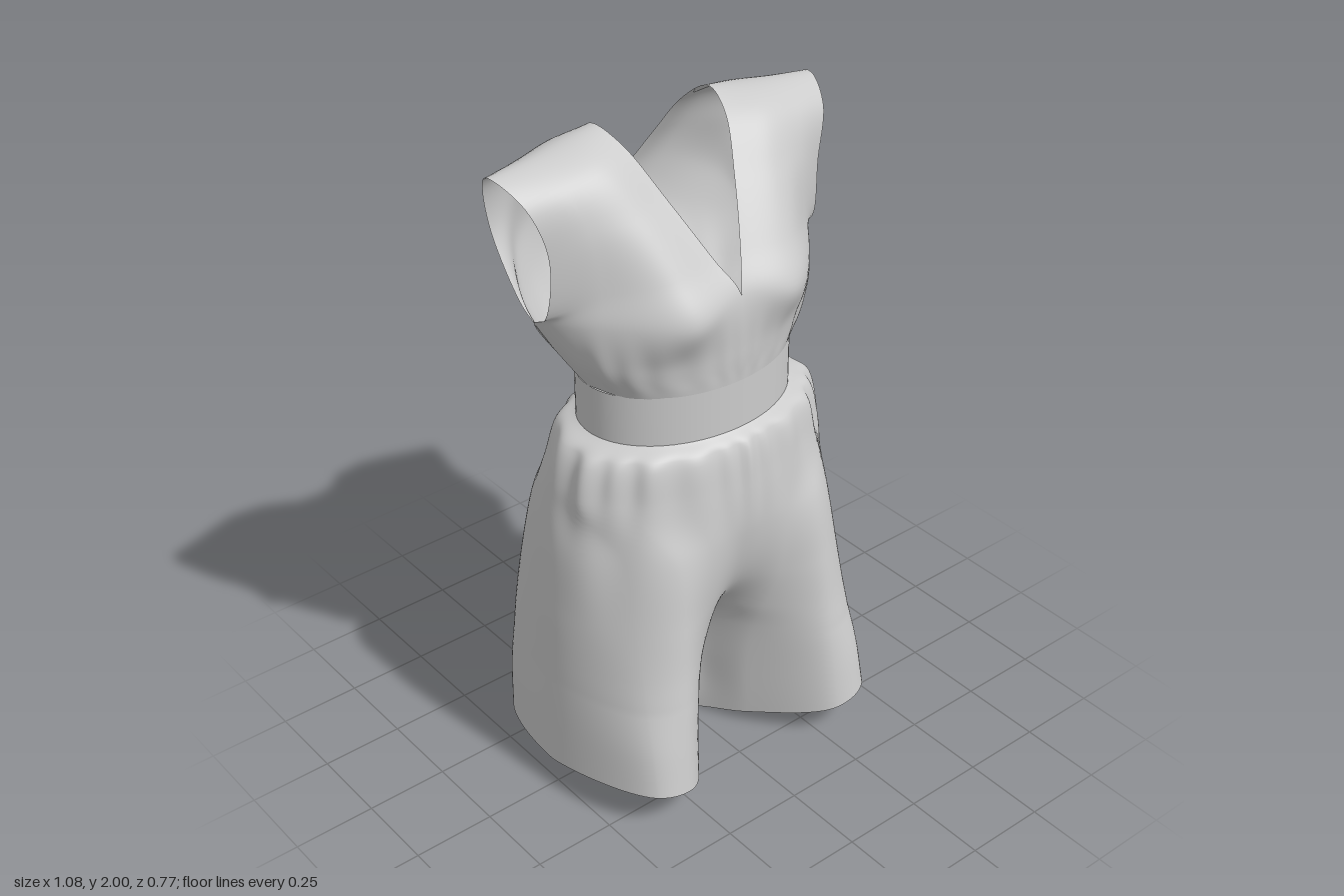
import * as THREE from 'three';
import { mergeGeometries, mergeVertices } from 'three/addons/utils/BufferGeometryUtils.js';

const V = (x, y, z) => new THREE.Vector3(x, y, z);
const step = THREE.MathUtils.smoothstep;
const material = new THREE.MeshStandardMaterial({ color: 0xcccccc, side: THREE.DoubleSide });

// Points on a level ellipse, angle measured in degrees from the front centre
function arc(y, rx, rz, cz, from, to, count) {
  return Array.from({ length: count }, (_, i) => {
    const a = THREE.MathUtils.degToRad(from + (to - from) * i / (count - 1));
    return V(rx * Math.sin(a), y, cz + rz * Math.cos(a));
  });
}

// Extra point past a row's end: mirrored on the centre line, straight on elsewhere
function beyond(end, next) {
  const mirrored = V(-next.x, next.y, next.z);
  const straight = end.clone().multiplyScalar(2).sub(next);
  return mirrored.lerp(straight, step(end.x, 0, 0.04));
}

// Smooth cloth through rows of control points, mirrored to both sides
function cloth(name, rows, nu, perRow, warp) {
  const nv = (rows.length - 1) * perRow;
  const columns = rows[0].map((_, i) => new THREE.CatmullRomCurve3(rows.map(r => r[i])));
  const grid = [];
  for (let j = 0; j <= nv; j++) {
    const c = columns.map(column => column.getPoint(j / nv));
    c.forEach(p => { p.x = Math.max(0, p.x); });
    const n = c.length;
    const row = new THREE.CatmullRomCurve3([beyond(c[0], c[1]), ...c, beyond(c[n - 1], c[n - 2])]);
    for (let i = 0; i <= nu; i++) {
      const p = row.getPoint((1 + (i / nu) * (n - 1)) / (n + 1));
      p.x = Math.max(0, p.x);
      warp(p);
      grid.push(p);
    }
  }
  const half = side => {
    const g = new THREE.BufferGeometry().setFromPoints(grid.map(p => V(p.x * side, p.y, p.z)));
    const index = [];
    for (let j = 0; j < nv; j++) {
      for (let i = 0; i < nu; i++) {
        const a = j * (nu + 1) + i, b = a + 1, c = a + nu + 1, d = c + 1;
        if (side > 0) index.push(a, b, d, a, d, c);
        else index.push(a, d, b, a, c, d);
      }
    }
    return g.setIndex(index);
  };
  const geometry = mergeVertices(mergeGeometries([half(1), half(-1)]), 1e-4);
  geometry.computeVertexNormals();
  const mesh = new THREE.Mesh(geometry, material);
  mesh.name = name;
  return mesh;
}

// Push a point in or out around the body axis to make gathers
function gather(p, amount, count) {
  const a = Math.atan2(p.x, p.z + 0.02);
  const k = 1 + amount * Math.cos(count * a + 1.5 * Math.sin(5 * a));
  p.x *= k;
  p.z = (p.z + 0.02) * k - 0.02;
}

// Bodice: rows run from the front waist over the shoulder to the back waist,
// each from the centre or neckline out to the side seam or armhole
function bodice() {
  const over = [
    [[0, 1.585, 0.225], [0.18, 1.55, 0.246], [0.365, 1.55, 0.09], [0.47, 1.545, -0.06]],
    [[0.045, 1.68, 0.165], [0.2, 1.67, 0.18], [0.35, 1.64, 0.082], [0.467, 1.575, -0.012]],
    [[0.112, 1.83, 0.06], [0.23, 1.82, 0.088], [0.36, 1.81, 0.05], [0.462, 1.76, 0.008]],
    [[0.17, 1.963, -0.05], [0.28, 1.953, -0.015], [0.4, 1.928, -0.015], [0.505, 1.9, -0.025]],
    [[0.192, 2, -0.15], [0.3, 1.988, -0.14], [0.42, 1.972, -0.13], [0.54, 1.957, -0.13]],
    [[0.17, 1.94, -0.235], [0.28, 1.935, -0.245], [0.4, 1.91, -0.23], [0.51, 1.89, -0.205]],
    [[0.12, 1.83, -0.3], [0.23, 1.82, -0.312], [0.37, 1.8, -0.268], [0.472, 1.73, -0.228]],
    [[0.055, 1.745, -0.333], [0.19, 1.71, -0.344], [0.36, 1.66, -0.285], [0.467, 1.58, -0.125]],
    [[0, 1.725, -0.338], [0.18, 1.58, -0.342], [0.385, 1.55, -0.23], [0.47, 1.545, -0.06]],
  ].map(row => row.map(p => V(...p)));
  const rows = [
    arc(1.32, 0.333, 0.243, -0.02, 0, 90, 4),
    arc(1.42, 0.4, 0.272, -0.042, 0, 90, 4),
    ...over,
    arc(1.42, 0.4, 0.272, -0.042, 180, 90, 4),
    arc(1.32, 0.333, 0.243, -0.02, 180, 90, 4),
  ];
  return cloth('bodice', rows, 48, 8, p =>
    gather(p, 0.008 * step(p.y, 1.32, 1.37) * (1 - step(p.y, 1.38, 1.56)), 24));
}

// Shorts: rows run from hem to waist, each from the front centre round the
// outside to the back centre; below the crotch the two ends meet at the inseam
function shorts() {
  const lower = [
    [0, [[0.03, 0], [0.11, 0.16], [0.28, 0.372], [0.405, 0.355], [0.517, -0.02], [0.43, -0.31], [0.115, -0.2], [0.03, 0]]],
    [0.22, [[0.012, 0], [0.1, 0.16], [0.275, 0.352], [0.4, 0.325], [0.508, -0.03], [0.42, -0.32], [0.115, -0.235], [0.012, 0]]],
    [0.39, [[0, 0], [0.1, 0.18], [0.27, 0.335], [0.392, 0.29], [0.5, -0.03], [0.4, -0.327], [0.12, -0.3], [0, 0]]],
    [0.49, [[0, 0.11], [0.11, 0.22], [0.27, 0.322], [0.387, 0.265], [0.495, -0.03], [0.385, -0.332], [0.14, -0.348], [0, -0.22]]],
    [0.64, [[0, 0.22], [0.13, 0.265], [0.27, 0.305], [0.382, 0.23], [0.487, -0.03], [0.36, -0.33], [0.15, -0.383], [0, -0.35]]],
    [0.85, [[0, 0.276], [0.14, 0.28], [0.27, 0.268], [0.375, 0.18], [0.47, -0.03], [0.335, -0.295], [0.15, -0.363], [0, -0.36]]],
  ].map(([y, row]) => row.map(([x, z]) => V(x, y, z)));
  const rows = [
    ...lower,
    arc(1.02, 0.443, 0.297, -0.02, 0, 180, 8),
    arc(1.14, 0.4, 0.27, -0.015, 0, 180, 8),
    arc(1.17, 0.333, 0.243, -0.02, 0, 180, 8),
  ];
  return cloth('shorts', rows, 112, 9, p => {
    // hem dips towards the inseam and rises to the front
    const hem = 0.005 + 0.19 * (p.x - 0.03) + (p.z > 0 ? 0.15 : -0.03) * p.z;
    const y = p.y;
    p.y += hem * Math.max(0, 1 - y / 0.39);
    const top = 1 - step(y, 1.13, 1.17);
    gather(p, 0.016 * top * step(y, 0.85, 1.12), 22);
    gather(p, 0.01 * top * step(y, 0.55, 0.95), 9);
  });
}

// Waistband: a plain open band between the two gathered edges
function waistband() {
  const mesh = new THREE.Mesh(new THREE.CylinderGeometry(1, 1, 0.154, 72, 2, true), material);
  mesh.scale.set(0.333, 1, 0.243);
  mesh.position.set(0, 1.245, -0.02);
  mesh.name = 'waistband';
  return mesh;
}

export function createModel() {
  const group = new THREE.Group();
  group.name = 'romper';
  group.add(bodice(), waistband(), shorts());
  return group;
}
